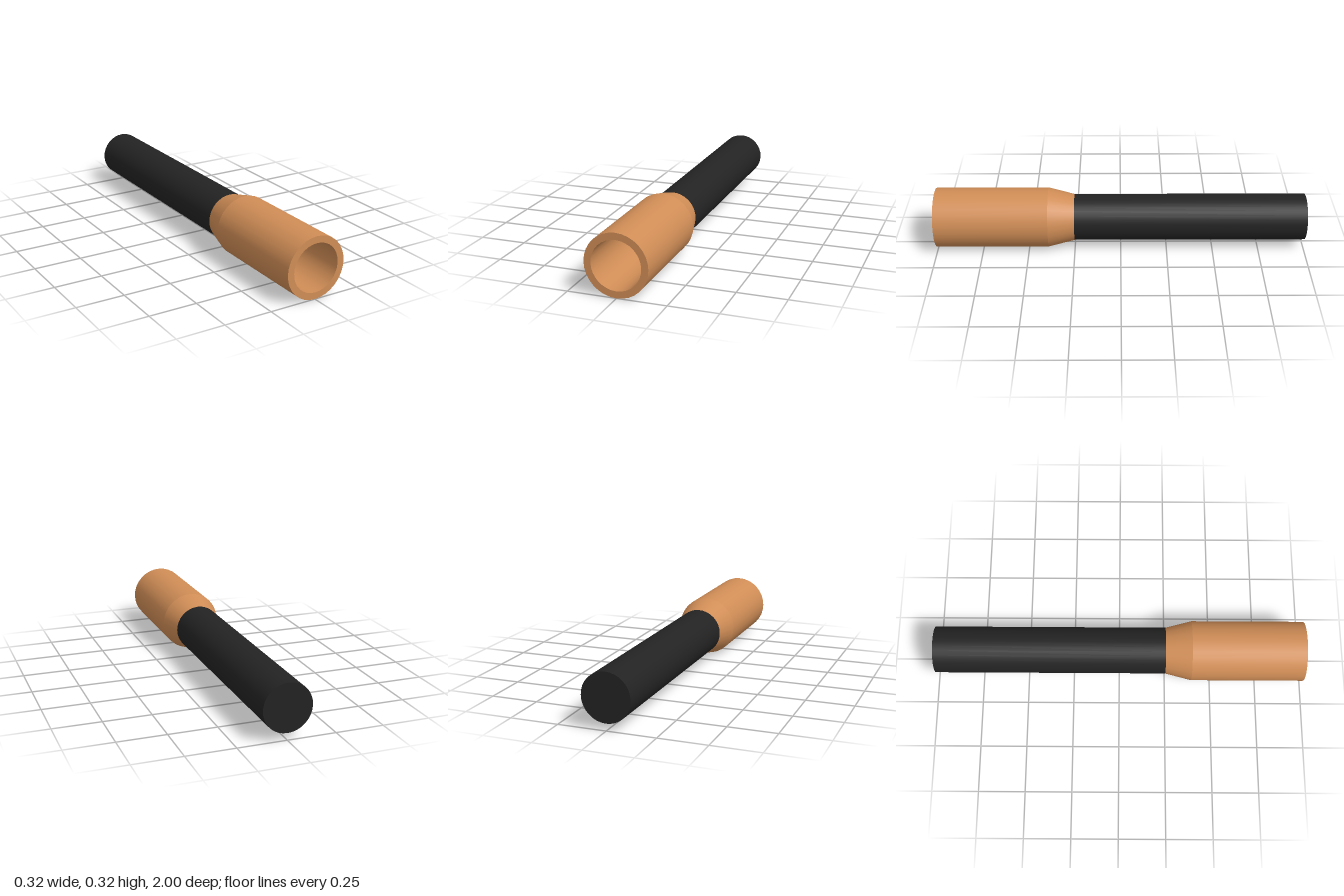
import * as THREE from 'three';
import { mergeGeometries } from 'three/addons/utils/BufferGeometryUtils.js';

const SEGMENTS = 32;
const AXIS_Y = 0.161;

// Revolves each profile segment separately, so rings stay sharp and walls smooth
function revolve(profile) {
  const strips = [];
  for (let i = 0; i < profile.length - 1; i++) {
    const pair = [profile[i], profile[i + 1]].map(([r, z]) => new THREE.Vector2(r, z));
    strips.push(new THREE.LatheGeometry(pair, SEGMENTS));
  }
  return mergeGeometries(strips).rotateX(Math.PI / 2);
}

export function createModel() {
  const copper = new THREE.MeshStandardMaterial({ color: 0xd08d56 });
  copper.name = 'copper';
  const black = new THREE.MeshStandardMaterial({ color: 0x232323 });
  black.name = 'black';

  const model = new THREE.Group();
  model.name = 'sleevedRod';

  // Hollow sleeve: outer taper, outer wall, front rim, bore, inner taper
  const sleeve = new THREE.Mesh(revolve([
    [0.125, 0.25], [0.161, 0.39], [0.161, 1], [0.126, 1], [0.126, 0.39], [0.068, 0.25],
  ]), copper);
  sleeve.name = 'sleeve';

  // Solid rod behind the sleeve, its front end closing the bore
  const rod = new THREE.Mesh(
    new THREE.CylinderGeometry(0.125, 0.125, 1.25, SEGMENTS).rotateX(Math.PI / 2), black);
  rod.position.z = -0.375;
  rod.name = 'rod';

  for (const part of [sleeve, rod]) {
    part.position.y = AXIS_Y;
    model.add(part);
  }
  return model;
}
